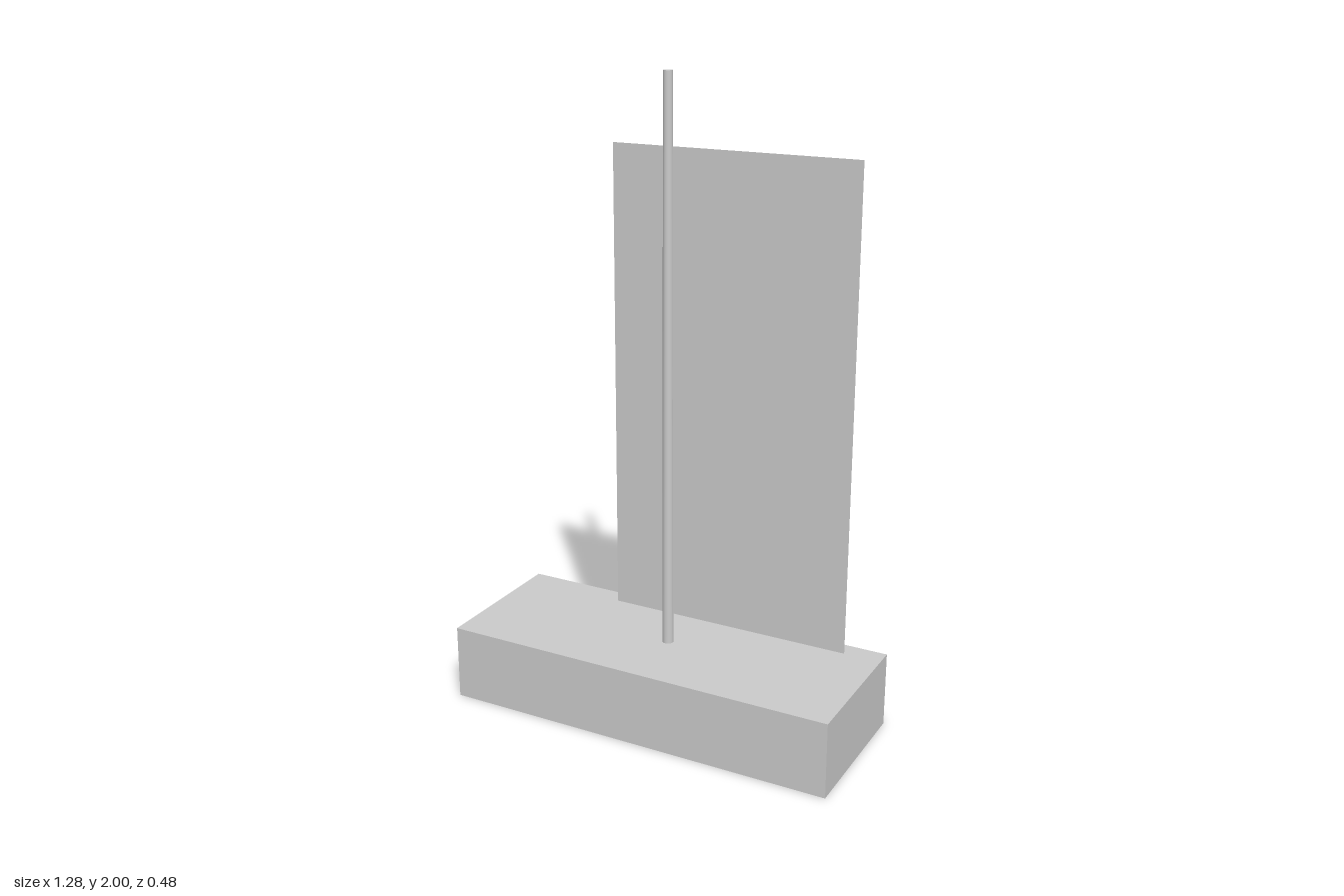
import * as THREE from 'three';

export function createModel() {
  const model = new THREE.Group();
  const grey = new THREE.MeshStandardMaterial({ color: 0xcccccc });
  const cloth = new THREE.MeshStandardMaterial({ color: 0xcccccc, side: THREE.DoubleSide });

  const add = (name, geometry, material, x, y) => {
    const mesh = new THREE.Mesh(geometry, material);
    mesh.name = name;
    mesh.position.set(x, y, 0);
    model.add(mesh);
  };

  // Block hull
  add('hull', new THREE.BoxGeometry(1.28, 0.24, 0.48), grey, 0, 0.12);

  // Slightly tapered mast standing on the deck
  add('mast', new THREE.CylinderGeometry(0.014, 0.018, 1.76, 16), grey, 0, 1.12);

  // Flat rectangular sail, set off-centre on the mast
  add('sail', new THREE.PlaneGeometry(0.77, 1.45), cloth, 0.205, 1.065);

  return model;
}
